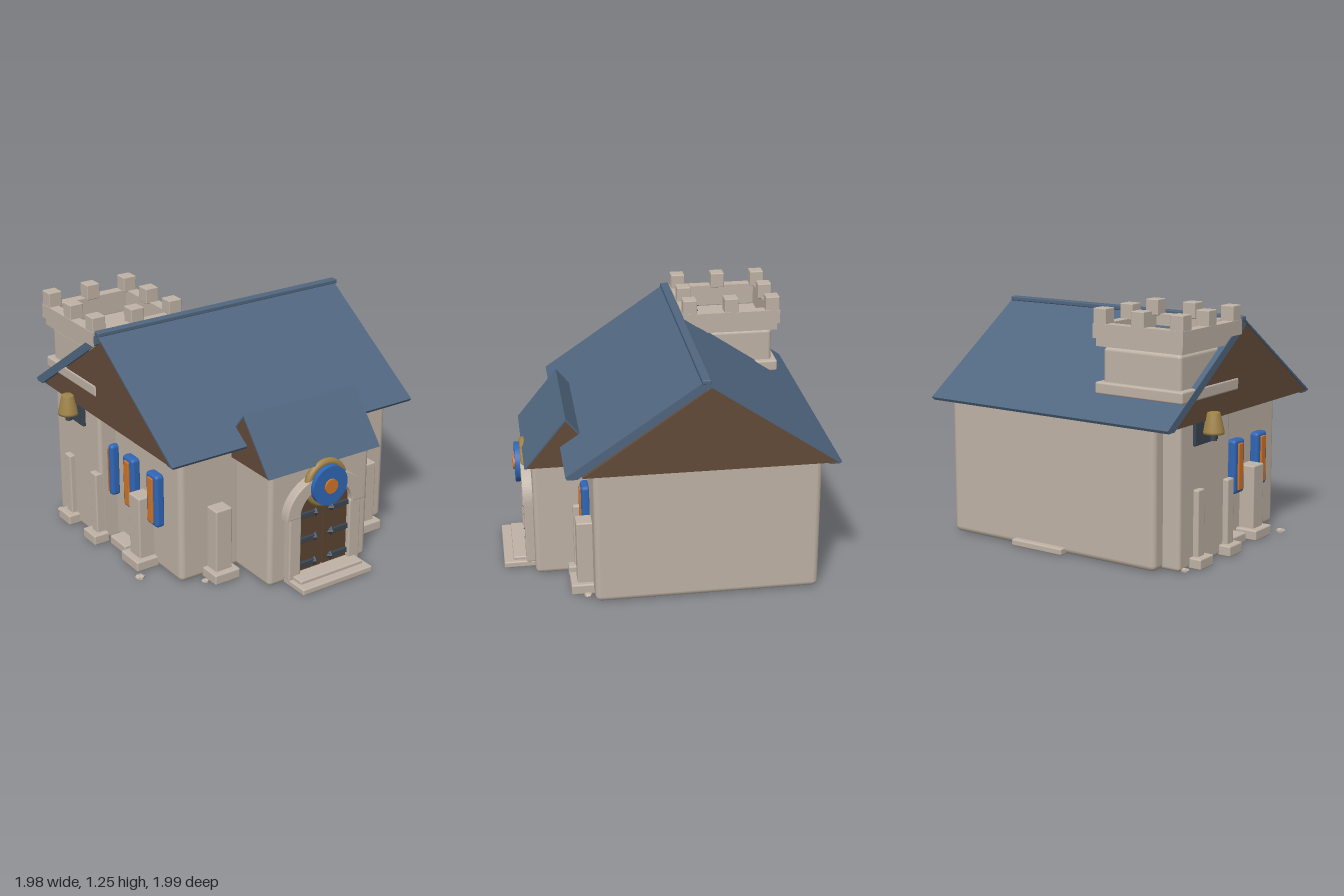
import * as THREE from 'three';
import { RoundedBoxGeometry } from 'three/addons/geometries/RoundedBoxGeometry.js';

const mat = (name, color) => {
  const m = new THREE.MeshStandardMaterial({ color });
  m.name = name;
  return m;
};

export function createModel() {
  const stone = mat('stone', 0xbfb2a5);
  const slate = mat('slate blue roof', 0x50667f);
  const timber = mat('gable timber', 0x634b39);
  const wood = mat('door wood', 0x5a4431);
  const iron = mat('dark iron', 0x3b4550);
  const brass = mat('brass', 0xa08348);
  const blue = mat('bright blue', 0x2f66b5);
  const orange = mat('orange', 0xd07428);

  const model = new THREE.Group();
  model.name = 'chapel';
  // the building stands diagonally: its porch faces +z in this group
  const house = new THREE.Group();
  house.name = 'building';
  house.rotation.y = Math.PI / 4;
  model.add(house);

  const add = (name, geo, m, x = 0, y = 0, z = 0) => {
    const mesh = new THREE.Mesh(geo, m);
    mesh.name = name;
    mesh.position.set(x, y, z);
    house.add(mesh);
    return mesh;
  };
  // box given by its minimum and maximum corners, with softened edges
  const block = (name, m, x0, x1, y0, y1, z0, z1, r = 0.008) => add(name,
    new RoundedBoxGeometry(x1 - x0, y1 - y0, z1 - z0, 2, r), m,
    (x0 + x1) / 2, (y0 + y1) / 2, (z0 + z1) / 2);
  // polygon of [z, y] points extruded along x
  const prism = (name, m, pts, x0, x1) => {
    const shape = new THREE.Shape(pts.map(([z, y]) => new THREE.Vector2(-z, y)));
    const geo = new THREE.ExtrudeGeometry(shape, { depth: x1 - x0, bevelEnabled: false });
    geo.rotateY(Math.PI / 2);
    return add(name, geo, m, x0);
  };

  // main walls
  block('mainWalls', stone, -0.61, 0.672, 0, 0.74, -0.595, 0.538, 0.03);

  // main roof: each gable is flush on one slope and tucked under a thick slab on the other
  const gable = s => [[-s * 0.658, 0.72], [s * 0.592, 0.72], [-s * 0.03, 1.148]];
  prism('rightGable', timber, gable(1), 0, 0.733);
  prism('leftGable', timber, gable(-1), -0.73, 0);
  const slab = s => [[0, 1.13], [0, 1.18], [s * 0.672, 0.726], [s * 0.664, 0.712], [s * 0.615, 0.712]];
  prism('frontRoofSlab', slate, slab(1), -0.728, 0.724);
  prism('frontRoofSkin', slate, [[0, 1.17], [0, 1.18], [0.672, 0.726], [0.664, 0.718]], -0.737, -0.727);
  prism('backRoofSlab', slate, slab(-1), -0.737, 0.73);
  prism('backRoofSkin', slate, [[0, 1.17], [0, 1.18], [-0.672, 0.726], [-0.664, 0.718]], 0.729, 0.739);
  block('ridgeCap', slate, -0.738, 0.738, 1.166, 1.19, -0.026, 0.018, 0.006);

  // corner tower
  const tx = -0.48, tz = -0.295;
  const square = (name, half, y0, y1, r) =>
    block(name, stone, tx - half, tx + half, y0, y1, tz - half, tz + half, r);
  square('towerWalls', 0.226, 0, 1.06, 0.02);
  square('towerBand', 0.255, 0.83, 0.89, 0.01);
  const ring = (o, i) => {
    const sq = (P, h) => new P([[-h, -h], [h, -h], [h, h], [-h, h]].map(p => new THREE.Vector2(...p)));
    const s = sq(THREE.Shape, o);
    s.holes.push(sq(THREE.Path, i));
    return s;
  };
  const parapet = (name, o, y0, y1) => {
    const g = new THREE.ExtrudeGeometry(ring(o, 0.205), { depth: y1 - y0, bevelEnabled: false });
    g.rotateX(-Math.PI / 2);
    add(name, g, stone, tx, y0, tz);
  };
  parapet('parapetFoot', 0.25, 1.065, 1.105);
  parapet('parapet', 0.262, 1.105, 1.177);
  for (let i = -1; i <= 1; i++) for (let j = -1; j <= 1; j++) {
    if (!i && !j) continue;
    const x = tx + i * 0.222, z = tz + j * 0.222;
    block('merlon', stone, x - 0.037, x + 0.037, 1.17, 1.252, z - 0.037, z + 0.037, 0.005);
  }

  // bell on its iron plate
  block('bellPlate', iron, -0.722, -0.695, 0.605, 0.825, -0.41, -0.205, 0.006);
  const bellPts = [[0, 0.05], [0.044, 0], [0.054, 0], [0.054, 0.012], [0.034, 0.1], [0.03, 0.105], [0, 0.105]]
    .map(p => new THREE.Vector2(...p));
  add('bell', new THREE.LatheGeometry(bellPts, 20), brass, -0.752, 0.655, -0.3);
  add('bellClapper', new THREE.CylinderGeometry(0.012, 0.018, 0.07, 10), iron, -0.752, 0.655, -0.3);

  // narrow windows: left gable wall and front wall
  for (const z of [-0.09, 0.115, 0.34]) {
    block('windowFrame', blue, -0.655, -0.6, 0.255, 0.54, z - 0.05, z + 0.05, 0.018);
    block('windowPane', orange, -0.664, -0.64, 0.275, 0.52, z - 0.022, z + 0.022, 0.004);
  }
  block('windowFrame', blue, 0.33, 0.43, 0.255, 0.525, 0.53, 0.578, 0.018);
  block('windowPane', orange, 0.358, 0.402, 0.275, 0.505, 0.57, 0.587, 0.004);

  // buttresses with footings
  for (const [z, x, w, d] of [[-0.37, -0.7, 0.06, 0.035], [-0.1, -0.7, 0.06, 0.035], [0.24, -0.62, 0.1, 0.075]]) {
    block('sideButtress', stone, x - d, x + 0.02, 0, 0.388, z - w / 2, z + w / 2);
    block('sideFooting', stone, x - d - 0.035, x + 0.02, 0, 0.055, z - w / 2 - 0.03, z + w / 2 + 0.03);
  }
  for (const x of [-0.405, 0.31, 0.505]) {
    block('frontButtress', stone, x - 0.048, x + 0.048, 0, 0.388, 0.52, 0.617);
    block('frontFooting', stone, x - 0.074, x + 0.074, 0, 0.055, 0.52, 0.65);
  }
  // plinth blocks and loose stones
  block('sidePlinth', stone, -0.69, -0.6, 0, 0.05, -0.02, 0.13);
  block('backPlinth', stone, -0.07, 0.25, 0, 0.035, -0.63, -0.57);
  for (const [x, z, r] of [[-0.75, 0.38, 0.026], [-0.72, -0.49, 0.022], [-0.5, 0.59, 0.02], [0.6, 0.57, 0.022]]) {
    const g = new THREE.DodecahedronGeometry(r).scale(1, 0.5, 1);
    add('looseStone', g, stone, x, r * 0.45, z);
  }

  // porch
  block('porchWalls', stone, -0.275, 0.335, 0, 0.635, 0.4, 0.815, 0.025);
  prism('porchGable', timber, [[0.43, 0.617], [0.845, 0.617], [0.64, 0.868]], -0.31, 0.368);
  const porchSlab = s => [[0.64, 0.864], [0.64, 0.877], [0.64 + s * 0.213, 0.617], [0.64 + s * 0.204, 0.617]];
  prism('porchFrontSlab', slate, porchSlab(1), -0.312, 0.37);
  prism('porchBackSlab', slate, porchSlab(-1), -0.312, 0.37);

  // entrance steps
  const cx = 0.035;
  block('lowerStep', stone, cx - 0.216, cx + 0.216, 0, 0.034, 0.79, 0.974);
  block('upperStep', stone, cx - 0.195, cx + 0.195, 0.02, 0.052, 0.79, 0.925);

  // flattened arch over the door, on jambs
  const arch = new THREE.Shape();
  arch.absarc(0, 0, 0.235, 0, Math.PI, false);
  arch.absarc(0, 0, 0.165, Math.PI, 0, true);
  add('doorArch', new THREE.ExtrudeGeometry(arch, {
    depth: 0.05, bevelSize: 0.006, bevelThickness: 0.006, bevelSegments: 2, curveSegments: 20,
  }).scale(1, 0.82, 1), stone, cx, 0.372, 0.81);
  for (const s of [-1, 1]) {
    const x = cx + s * 0.185;
    block('doorJamb', stone, x - 0.035, x + 0.035, 0.03, 0.375, 0.8, 0.86);

    // door leaf: quarter-arched top
    const leaf = new THREE.Shape();
    leaf.moveTo(s * 0.004, 0);
    leaf.lineTo(s * 0.155, 0);
    leaf.lineTo(s * 0.155, 0.32);
    leaf.absarc(0, 0.32, 0.155, s > 0 ? 0 : Math.PI, Math.PI / 2 - s * 0.026, s < 0);
    add('doorLeaf', new THREE.ExtrudeGeometry(leaf, { depth: 0.025, bevelEnabled: false }), wood, cx, 0.052, 0.81);

    // strap hinges with pointed studs
    for (const y of [0.088, 0.225, 0.36]) {
      const hx = cx + s * 0.095;
      block('strapHinge', iron, hx - 0.058, hx + 0.058, y - 0.014, y + 0.014, 0.83, 0.848, 0.004);
      add('hingeStud', new THREE.OctahedronGeometry(0.026).scale(1, 1, 0.7), iron, cx + s * 0.05, y, 0.842);
    }
  }

  // round emblem above the door
  const disc = (name, m, r, z0, z1, y) => add(name,
    new THREE.CylinderGeometry(r, r, z1 - z0, 32).rotateX(Math.PI / 2), m, cx, y, (z0 + z1) / 2);
  disc('emblemBack', brass, 0.11, 0.81, 0.855, 0.512);
  add('emblemRing', new THREE.TorusGeometry(0.108, 0.02, 10, 36), brass, cx, 0.512, 0.845);
  disc('emblemDisc', blue, 0.104, 0.85, 0.89, 0.508);
  disc('emblemBoss', orange, 0.038, 0.885, 0.9, 0.508);

  return model;
}
